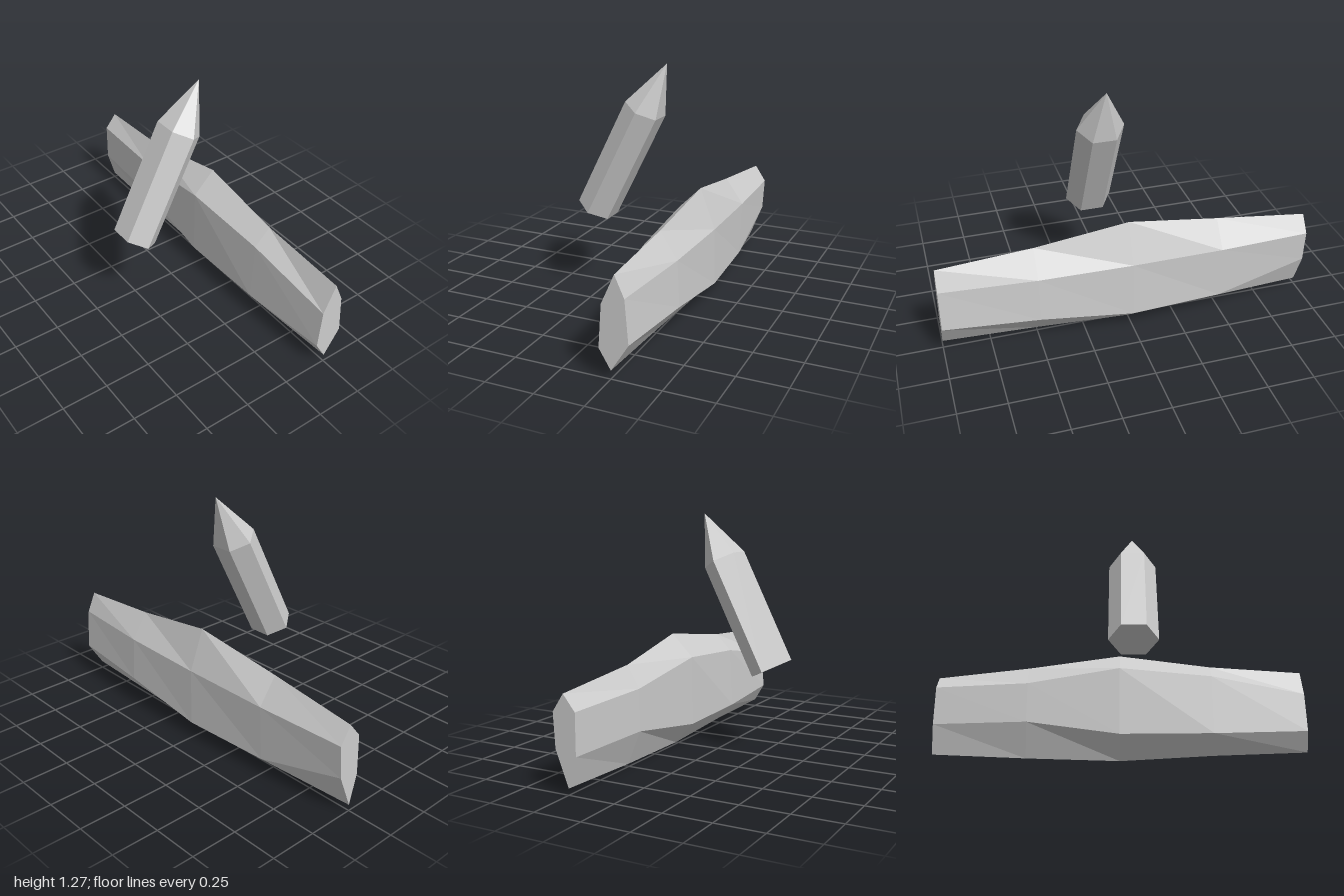
import * as THREE from 'three';

// Six-sided bar lofted through rings of [y, z] points:
// top, front upper, front lower, bottom, back lower, back upper
function loft(rings) {
  const pos = [], idx = [];
  const n = rings[0].pts.length, last = (rings.length - 1) * n;
  for (const { x, pts } of rings) for (const [y, z] of pts) pos.push(x, y, z);
  for (let i = 0; i < rings.length - 1; i++) {
    for (let j = 0; j < n; j++) {
      const a = i * n + j, b = i * n + (j + 1) % n;
      idx.push(a, b, b + n, a, b + n, a + n);
    }
  }
  // end caps
  for (let j = 1; j < n - 1; j++) {
    idx.push(0, j + 1, j);
    idx.push(last, last + j, last + j + 1);
  }
  const g = new THREE.BufferGeometry();
  g.setAttribute('position', new THREE.Float32BufferAttribute(pos, 3));
  g.setIndex(idx);
  const flat = g.toNonIndexed();
  flat.computeVertexNormals();
  return flat;
}

export function createModel() {
  const model = new THREE.Group();
  const stone = new THREE.MeshStandardMaterial({ color: 0xcccccc, flatShading: true });
  stone.name = 'pale grey';

  // faceted bar
  const bar = new THREE.Mesh(loft([
    { x: -1, pts: [[0.48, -0.27], [0.4, -0.205], [0.19, -0.205], [0.035, -0.25], [0.215, -0.32], [0.39, -0.33]] },
    { x: -0.5, pts: [[0.53, -0.25], [0.415, -0.18], [0.195, -0.18], [0.015, -0.255], [0.09, -0.34], [0.39, -0.35]] },
    { x: 0, pts: [[0.617, -0.282], [0.495, -0.16], [0.12, -0.16], [0.003, -0.266], [0.093, -0.37], [0.4, -0.365]] },
    { x: 0.5, pts: [[0.545, -0.27], [0.455, -0.18], [0.125, -0.165], [0.03, -0.26], [0.165, -0.372], [0.405, -0.36]] },
    { x: 1, pts: [[0.51, -0.272], [0.36, -0.205], [0.145, -0.19], [0.045, -0.25], [0.184, -0.338], [0.403, -0.32]] },
  ]), stone);
  bar.name = 'facetedBar';
  model.add(bar);

  // leaning hexagonal spike: shaft and pointed tip
  const radius = 0.1275, shaftLength = 0.634, tipLength = 0.271;
  const spike = new THREE.Group();
  spike.name = 'spike';
  spike.position.set(0.07, 0.462, 0.285);
  spike.rotation.x = -0.461;
  spike.scale.z = 0.86;

  const addSection = (name, topRadius, length, base, open) => {
    const mesh = new THREE.Mesh(
      new THREE.CylinderGeometry(topRadius, radius, length, 6, 1, open, Math.PI / 6), stone);
    mesh.name = name;
    mesh.position.y = base + length / 2;
    spike.add(mesh);
  };
  addSection('spikeShaft', radius, shaftLength, 0, false);
  addSection('spikeTip', 0, tipLength, shaftLength, true);
  model.add(spike);

  return model;
}
